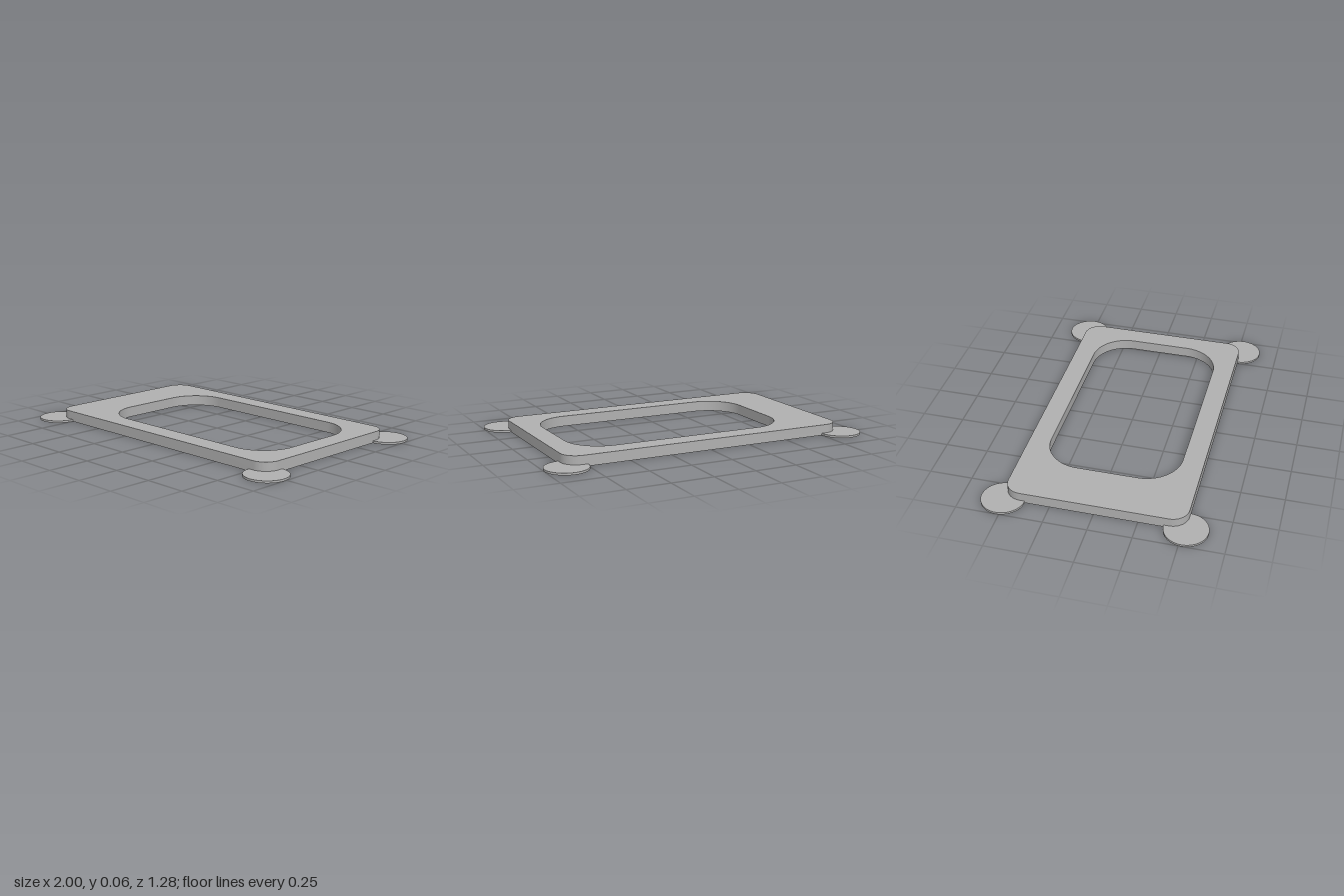
import * as THREE from 'three';
import { toCreasedNormals } from 'three/addons/utils/BufferGeometryUtils.js';

// Trace a rounded rectangle, counter-clockwise, onto a Shape or Path
function roundedRect(path, x0, x1, halfDepth, r) {
  const y0 = -halfDepth, y1 = halfDepth;
  path.moveTo(x0 + r, y0);
  path.lineTo(x1 - r, y0);
  path.absarc(x1 - r, y0 + r, r, -Math.PI / 2, 0);
  path.lineTo(x1, y1 - r);
  path.absarc(x1 - r, y1 - r, r, 0, Math.PI / 2);
  path.lineTo(x0 + r, y1);
  path.absarc(x0 + r, y1 - r, r, Math.PI / 2, Math.PI);
  path.lineTo(x0, y0 + r);
  path.absarc(x0 + r, y0 + r, r, Math.PI, Math.PI * 1.5);
  return path;
}

export function createModel() {
  const group = new THREE.Group();
  group.name = 'framePlate';
  const grey = new THREE.MeshStandardMaterial({ color: 0xb0b0b0 });
  grey.name = 'grey';

  const halfX = 0.875, halfZ = 0.517;

  // Flat frame with an off-centre rounded window
  const outline = roundedRect(new THREE.Shape(), -halfX, halfX, halfZ, 0.095);
  outline.holes.push(roundedRect(new THREE.Path(), -0.588, 0.752, 0.393, 0.215));
  const frameGeometry = new THREE.ExtrudeGeometry(outline, {
    depth: 0.063, bevelEnabled: false, curveSegments: 16,
  });
  frameGeometry.rotateX(-Math.PI / 2);
  const frame = new THREE.Mesh(toCreasedNormals(frameGeometry, 0.6), grey);
  frame.name = 'frame';
  group.add(frame);

  // Thin round pads under the four corners
  const padHeight = 0.0125;
  const padGeometry = new THREE.CylinderGeometry(0.125, 0.125, padHeight, 64);
  for (const sx of [-1, 1]) {
    for (const sz of [-1, 1]) {
      const pad = new THREE.Mesh(padGeometry, grey);
      pad.name = (sz > 0 ? 'front' : 'back') + (sx > 0 ? 'Left' : 'Right') + 'Pad';
      pad.position.set(sx * halfX, padHeight / 2, sz * halfZ);
      group.add(pad);
    }
  }

  return group;
}
